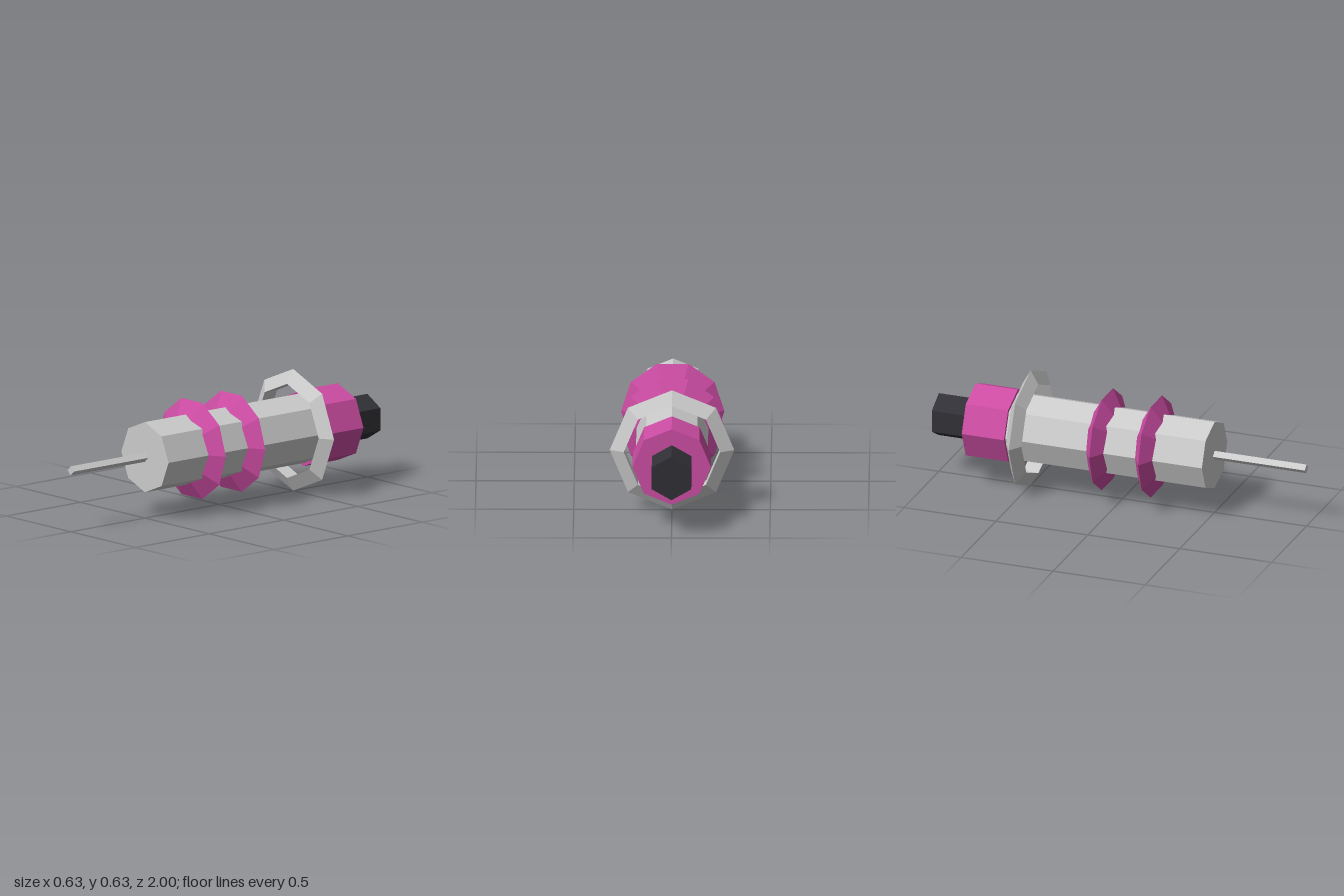
import * as THREE from 'three';

const AXIS_Y = 0.317;
const material = (color) => new THREE.MeshStandardMaterial({ color, flatShading: true });

export function createModel() {
  const model = new THREE.Group();
  const grey = material(0xcccccc);
  const magenta = material(0xcc4ca3);
  const black = material(0x303036);

  const add = (name, geometry, mat, z) => {
    const mesh = new THREE.Mesh(geometry, mat);
    mesh.name = name;
    mesh.position.set(0, AXIS_Y, z);
    model.add(mesh);
  };

  // Faceted rod lying along z, with a corner pointing straight up
  const rod = (name, radius, sides, zBack, zFront, mat) => {
    const geometry = new THREE.CylinderGeometry(radius, radius, zFront - zBack, sides);
    add(name, geometry.rotateX(Math.PI / 2), mat, (zBack + zFront) / 2);
  };

  // Ring with a triangular section, its sharp edge outwards
  const ring = (name, radius, tube, sides, z, mat) =>
    add(name, new THREE.TorusGeometry(radius, tube, 3, sides), mat, z);

  // Barrel, needle and rear plunger
  rod('needle', 0.024, 4, 0.5, 1, grey);
  rod('barrel', 0.183, 8, -0.57, 0.5, grey);
  rod('rearCap', 0.2, 8, -0.8, -0.57, magenta);
  rod('plunger', 0.116, 6, -1, -0.8, black);

  // Two bands tight on the barrel and a wider loose guard ring
  ring('frontBand', 0.2, 0.063, 10, 0.183, magenta);
  ring('rearBand', 0.2, 0.063, 10, -0.083, magenta);
  ring('guardRing', 0.269, 0.048, 8, -0.5, grey);

  return model;
}
